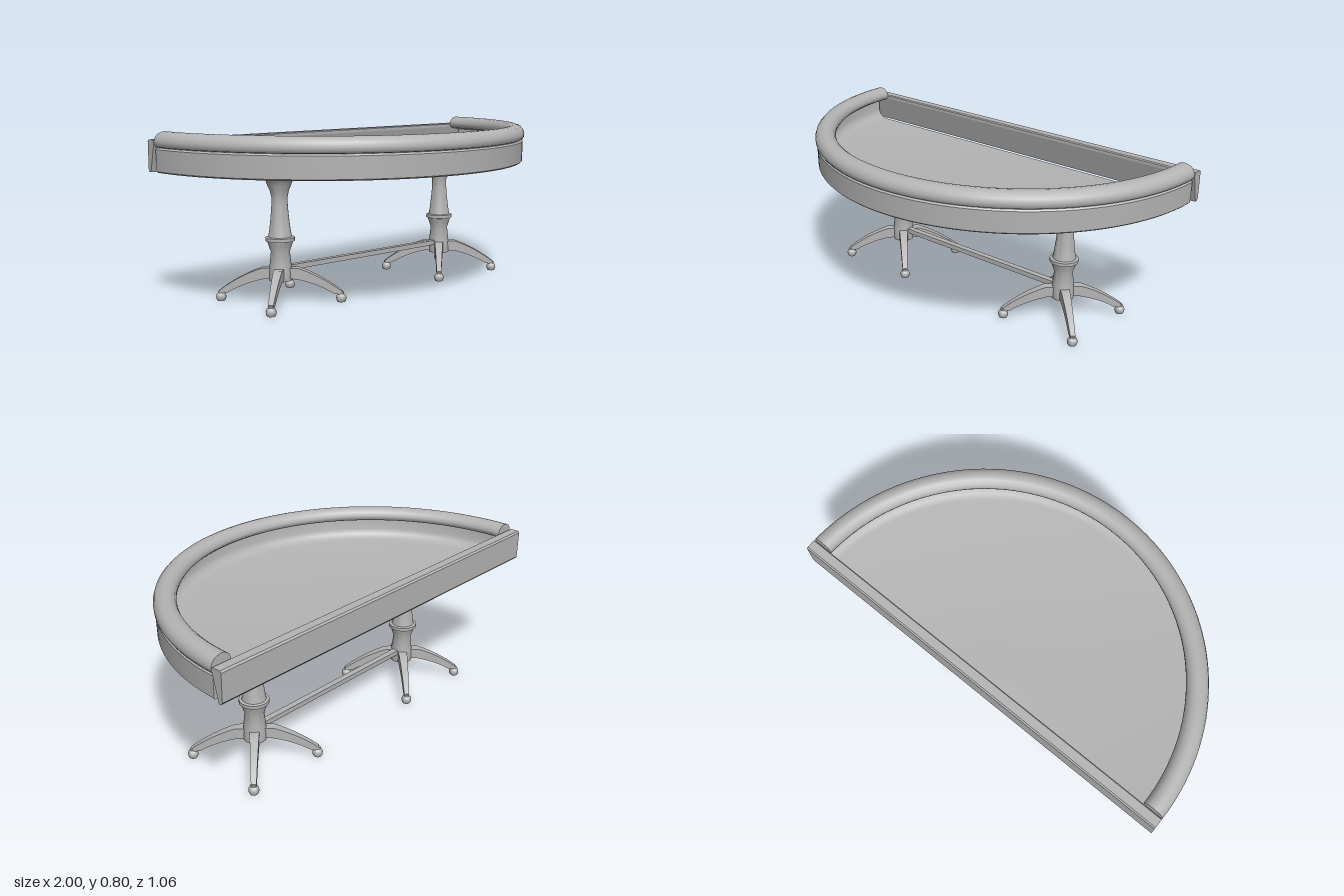
import * as THREE from 'three';
import { toCreasedNormals } from 'three/addons/utils/BufferGeometryUtils.js';

const grey = new THREE.MeshStandardMaterial({ color: 0xb4b4b4, side: THREE.DoubleSide });
grey.name = 'grey';

const BACK = -0.47;            // straight edge of the half-round top
const PED_X = 0.525, PED_Z = -0.185;

const vecs = (pts) => pts.map(([x, y]) => new THREE.Vector2(x, y));

function add(parent, name, geometry, x = 0, y = 0, z = 0) {
  const mesh = new THREE.Mesh(geometry, grey);
  mesh.name = name;
  mesh.position.set(x, y, z);
  parent.add(mesh);
  return mesh;
}

// Sweeps a closed profile (radius, height) through a half circle and caps both ends.
function halfRing(parent, name, profile, crease) {
  const part = new THREE.Group();
  part.name = name;
  part.position.z = BACK;
  const closed = vecs([...profile, profile[0]]);
  const sweep = new THREE.LatheGeometry(closed, 72, -Math.PI / 2, Math.PI);
  add(part, name + 'Sweep', toCreasedNormals(sweep, crease));
  const cap = new THREE.ShapeGeometry(new THREE.Shape(vecs(profile)));
  add(part, name + 'EndLeft', cap);
  add(part, name + 'EndRight', cap).rotation.y = Math.PI;
  parent.add(part);
}

// Leg outline (distance from column, height), extruded and narrowed towards the foot.
function legGeometry() {
  const shape = new THREE.Shape();
  shape.moveTo(0.03, 0.11);
  shape.lineTo(0.08, 0.108);
  shape.quadraticCurveTo(0.18, 0.085, 0.25, 0.04);
  shape.lineTo(0.29, 0.034);
  shape.lineTo(0.29, 0.05);
  shape.quadraticCurveTo(0.19, 0.125, 0.085, 0.16);
  shape.lineTo(0.03, 0.16);
  const geo = new THREE.ExtrudeGeometry(shape, { depth: 1, bevelEnabled: false, curveSegments: 6 });
  geo.translate(0, 0, -0.5);
  const pos = geo.attributes.position;
  for (let i = 0; i < pos.count; i++) {
    const width = THREE.MathUtils.mapLinear(pos.getX(i), 0.03, 0.29, 0.046, 0.024);
    pos.setZ(i, pos.getZ(i) * width);
  }
  geo.computeVertexNormals();
  return toCreasedNormals(geo, 0.5);
}

function pedestal(x) {
  const group = new THREE.Group();
  group.name = 'pedestal';
  group.position.set(x, 0, PED_Z);

  // Turned column
  const column = vecs([
    [0, 0.1], [0.053, 0.1], [0.055, 0.125], [0.052, 0.16], [0.044, 0.235], [0.055, 0.268], [0.06, 0.286],
    [0.068, 0.288], [0.068, 0.304], [0.055, 0.307], [0.049, 0.34], [0.042, 0.4],
    [0.038, 0.45], [0.037, 0.49], [0.045, 0.525], [0.056, 0.55], [0.065, 0.575],
    [0.08, 0.588], [0.108, 0.6], [0.115, 0.608], [0.115, 0.618],
  ]);
  add(group, 'column', toCreasedNormals(new THREE.LatheGeometry(column, 32), 0.6));

  // Four diagonal legs, each on a ball foot
  const leg = legGeometry();
  const foot = new THREE.LatheGeometry(vecs([
    [0, 0], [0.018, 0], [0.023, 0.01], [0.024, 0.02], [0.021, 0.031], [0.013, 0.038], [0.013, 0.046], [0, 0.047],
  ]), 16);
  for (let i = 0; i < 4; i++) {
    const arm = new THREE.Group();
    arm.name = 'legWithFoot';
    arm.rotation.y = Math.PI / 4 + i * Math.PI / 2;
    add(arm, 'leg', leg);
    add(arm, 'foot', toCreasedNormals(foot, 0.7), 0.283, 0, 0);
    group.add(arm);
  }
  return group;
}

export function createModel() {
  const model = new THREE.Group();
  model.name = 'halfRoundTable';

  // Shallow tray: flat floor, coved inside, thin apron wall
  halfRing(model, 'tray', [
    [0, 0.615], [0.985, 0.615], [0.991, 0.621], [0.993, 0.72], [0.986, 0.728],
    [0.972, 0.728], [0.97, 0.67], [0.962, 0.645], [0.94, 0.63], [0.91, 0.625], [0, 0.625],
  ], 0.7);

  // Padded rail over the apron
  halfRing(model, 'rail', [
    [0.975, 0.727], [0.992, 0.731], [0.999, 0.742], [1, 0.757], [0.994, 0.776], [0.98, 0.791],
    [0.96, 0.798], [0.945, 0.8], [0.925, 0.796], [0.908, 0.783], [0.9, 0.765], [0.901, 0.75], [0.915, 0.738],
  ], 0.8);

  // Wedge-shaped board along the straight back
  const section = new THREE.Shape(vecs([
    [0.506, 0.616], [0.518, 0.616], [0.526, 0.627], [0.526, 0.755], [0.519, 0.763],
    [0.478, 0.763], [0.473, 0.758], [0.473, 0.744],
  ]));
  const board = new THREE.ExtrudeGeometry(section, { depth: 2, bevelEnabled: false });
  board.translate(0, 0, -1);
  board.rotateY(Math.PI / 2);
  add(model, 'backBoard', board);

  // Pedestals joined by a stretcher
  for (const side of [-1, 1]) model.add(pedestal(side * PED_X));
  add(model, 'stretcher', new THREE.BoxGeometry(PED_X * 2, 0.024, 0.03), 0, 0.155, PED_Z);

  return model;
}
